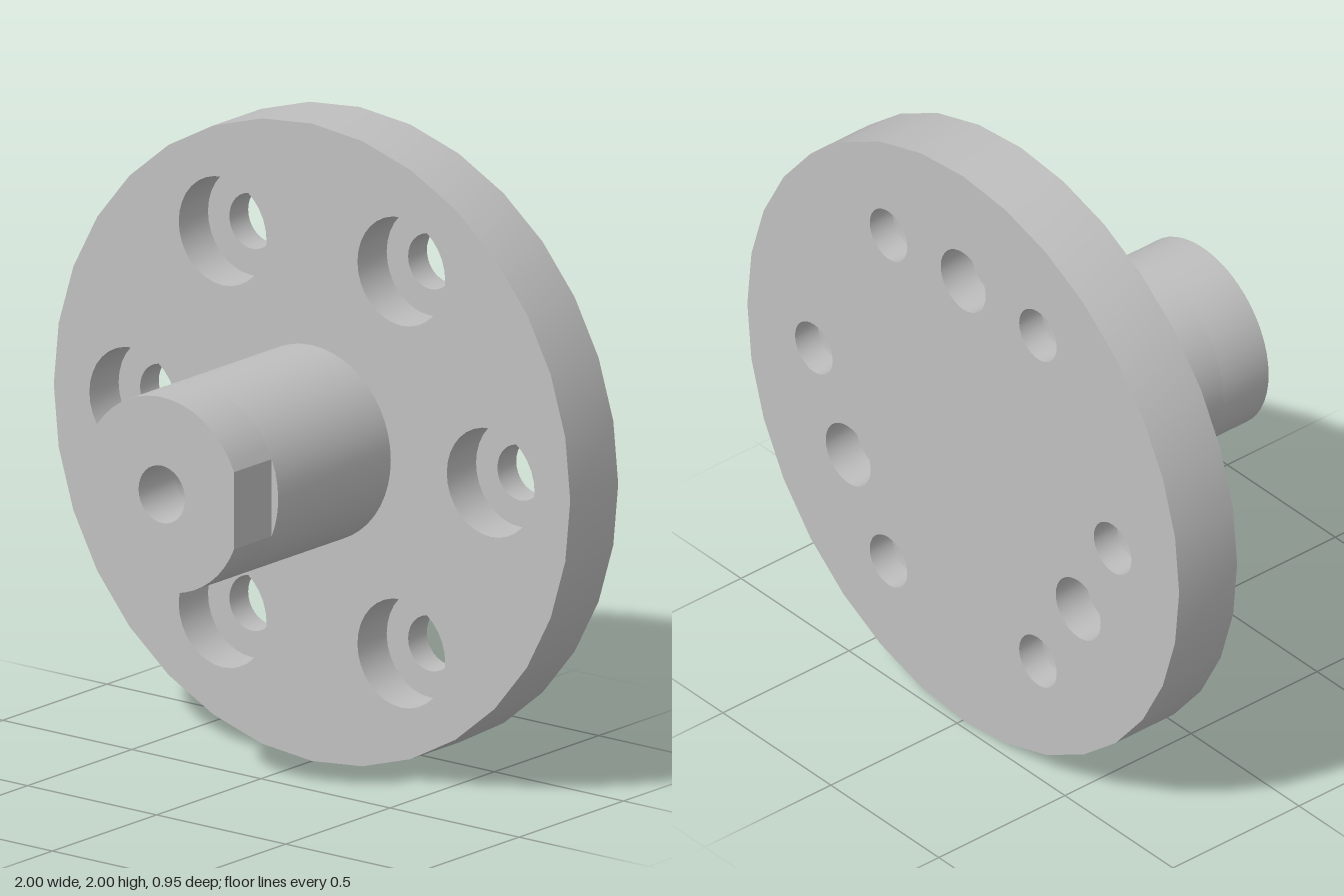
import * as THREE from 'three';
import { toCreasedNormals } from 'three/addons/utils/BufferGeometryUtils.js';

// Sizes along the axis (z) and radii
const BACK = -0.475, FACE = -0.245, STEP = 0.295, TIP = 0.475;
const DISC_R = 1, SHAFT_R = 0.305, FLAT_X = 0.28, BORE_R = 0.09;
const BOLT_R = 0.087, SINK_R = 0.17, SINK_Z = FACE - 0.14;
const PIN_R = 0.104, PIN_Z = BACK + 0.12;

export function createModel() {
  const steel = new THREE.MeshStandardMaterial({ color: 0xbfbfbf });
  steel.name = 'steel grey';

  const model = new THREE.Group();
  model.name = 'flangedShaft';
  const body = new THREE.Group();
  body.position.y = 1;
  model.add(body);

  const add = (name, geometry, x = 0, y = 0, z = 0) => {
    const mesh = new THREE.Mesh(geometry, steel);
    mesh.name = name;
    mesh.position.set(x, y, z);
    body.add(mesh);
    return mesh;
  };

  // Points along an arc, and full circles as outlines
  const arc = (r, x = 0, y = 0, n = 32, from = 0, to = Math.PI * 2, last = 0) =>
    Array.from({ length: n + last }, (_, i) => {
      const a = from + (to - from) * i / n;
      return new THREE.Vector2(x + r * Math.cos(a), y + r * Math.sin(a));
    });
  const plate = (outline, holes) => {
    const shape = new THREE.Shape(outline);
    shape.holes = holes.map(h => new THREE.Path(h));
    return shape;
  };

  // Turned surface along z; profile is [radius, z], rising z faces outwards
  const turned = (profile, n = 32) => toCreasedNormals(
    new THREE.LatheGeometry(profile.map(p => new THREE.Vector2(...p)), n).rotateX(Math.PI / 2), 0.6);

  const ring = (r, count, start) => Array.from({ length: count }, (_, i) => {
    const a = start + i * Math.PI * 2 / count;
    return [r * Math.cos(a), r * Math.sin(a)];
  });
  const bolts = ring(0.692, 6, 0);
  const pins = ring(0.615, 3, Math.PI / 2);

  // Flange disc
  add('flangeRim', turned([[DISC_R, BACK], [DISC_R, FACE]]));
  add('flangeFront', new THREE.ShapeGeometry(plate(arc(DISC_R), [
    arc(SHAFT_R, 0, 0, 48), ...bolts.map(p => arc(SINK_R, ...p))])), 0, 0, FACE);
  const back = new THREE.ShapeGeometry(plate(arc(DISC_R), [
    ...bolts.map(p => arc(BOLT_R, ...p)),
    ...pins.map(([x, y]) => arc(PIN_R, -x, y))]));
  add('flangeBack', back.rotateY(Math.PI), 0, 0, BACK);

  // Counterbored through holes
  const boltHole = turned([[SINK_R, FACE], [SINK_R, SINK_Z], [BOLT_R, SINK_Z], [BOLT_R, BACK]]);
  bolts.forEach(p => add('boltHole', boltHole, ...p));

  // Blind holes in the back
  const pinHole = turned([[0, PIN_Z], [PIN_R, PIN_Z], [PIN_R, BACK]]);
  pins.forEach(p => add('pinHole', pinHole, ...p));

  // Shaft with a flat cut at its tip
  add('shaft', turned([[SHAFT_R, FACE], [SHAFT_R, STEP]], 48));
  const a = Math.acos(FLAT_X / SHAFT_R);
  const tip = plate(arc(SHAFT_R, 0, 0, 44, a, Math.PI * 2 - a, 1), [arc(BORE_R)]);
  add('shaftTip', toCreasedNormals(new THREE.ExtrudeGeometry(tip,
    { depth: TIP - STEP, bevelEnabled: false }), 0.4), 0, 0, STEP);
  add('flatStep', new THREE.ShapeGeometry(new THREE.Shape(
    arc(SHAFT_R, 0, 0, 8, -a, a, 1))), 0, 0, STEP);

  // Blind bore on the axis
  add('centreBore', turned([[BORE_R, STEP], [BORE_R, 0.05], [0, 0.05]]));

  return model;
}
